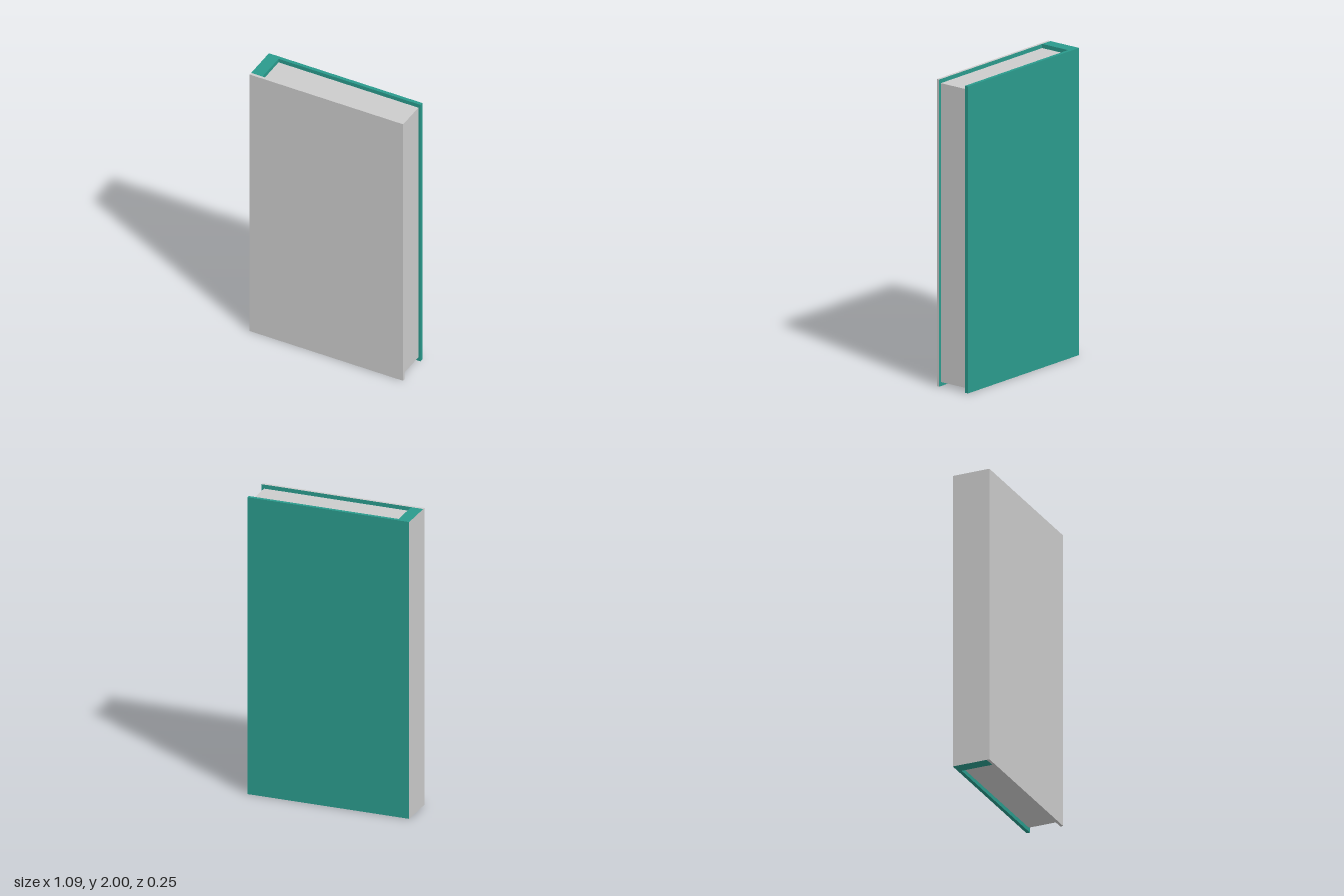
import * as THREE from 'three';

export function createModel() {
  const teal = new THREE.MeshStandardMaterial({ name: 'tealCloth', color: 0x2a9a8c });
  const grey = new THREE.MeshStandardMaterial({ name: 'paleGrey', color: 0xcccccc });
  const book = new THREE.Group();
  book.name = 'book';

  // Box given by its opposite corners
  const slab = (name, [x0, y0, z0], [x1, y1, z1], material) => {
    const mesh = new THREE.Mesh(new THREE.BoxGeometry(x1 - x0, y1 - y0, z1 - z0), material);
    mesh.position.set((x0 + x1) / 2, (y0 + y1) / 2, (z0 + z1) / 2);
    mesh.name = name;
    book.add(mesh);
  };

  const W = 0.544, D = 0.126, spineX = -0.463, backZ = -0.103, frontZ = 0.107;

  // Face order of the material lists: +x, -x, +y, -y, +z, -z
  // Front cover: grey outside and edges, teal lining
  slab('frontCover', [-W, 0, frontZ], [W, 2, D], [grey, grey, grey, grey, grey, teal]);
  // Back cover: teal, its spine-side edge continues the grey spine face
  slab('backCover', [-W, 0, -D], [W, 2, backZ], [teal, grey, teal, teal, teal, teal]);
  // Spine: teal with a grey outer face
  slab('spine', [-W, 0, backZ], [spineX, 2, frontZ], [teal, grey, teal, teal, teal, teal]);
  // Page block, set back from the cover edges
  slab('pages', [spineX, 0.027, backZ], [0.528, 1.973, frontZ], grey);

  return book;
}
